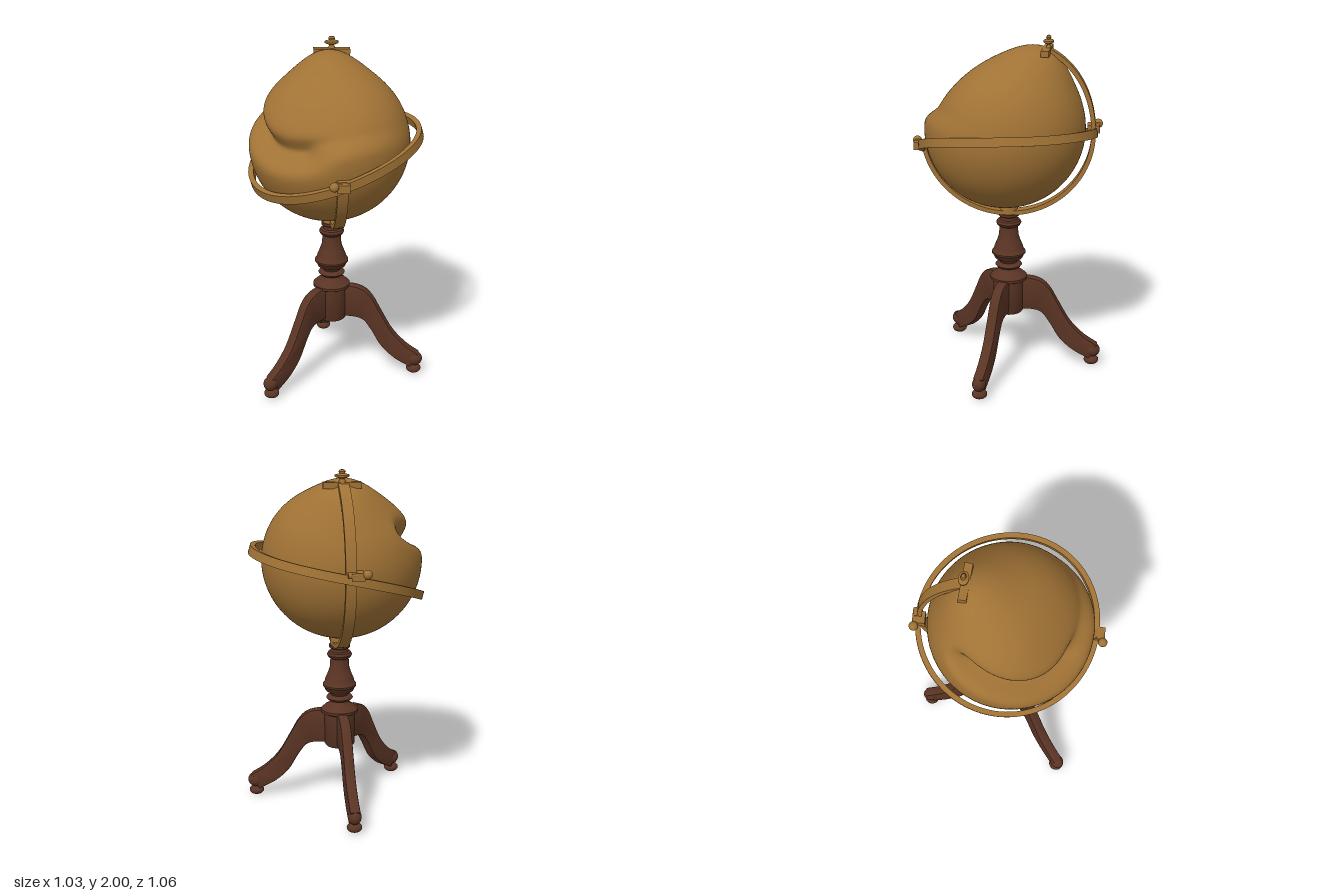
import * as THREE from 'three';
import { mergeVertices, toCreasedNormals } from 'three/addons/utils/BufferGeometryUtils.js';

const V = (x, y, z) => new THREE.Vector3(x, y, z);
const smooth = (x, a, b) => THREE.MathUtils.smoothstep(x, a, b);

// Rectangular bar swept along a path; at(t) gives the centre, out(t) the outward direction
function sweepBar(at, out, thick, wide, n, closed) {
  const pos = [], idx = [];
  for (let i = 0; i <= n; i++) {
    const t = i / n, p = at(t);
    const T = at(t + 0.001).sub(at(t - 0.001)).normalize();
    const O = out(t);
    O.addScaledVector(T, -O.dot(T)).normalize();
    const S = O.clone().cross(T);
    for (const [a, b] of [[1, 1], [1, -1], [-1, -1], [-1, 1]]) {
      const c = p.clone().addScaledVector(O, a * thick / 2).addScaledVector(S, b * wide / 2);
      pos.push(c.x, c.y, c.z);
    }
  }
  for (let i = 0; i < n; i++) {
    for (let j = 0; j < 4; j++) {
      const a = i * 4 + j, b = i * 4 + (j + 1) % 4;
      idx.push(a, b, b + 4, a, b + 4, a + 4);
    }
  }
  if (!closed) {
    const e = n * 4;
    idx.push(0, 2, 1, 0, 3, 2, e, e + 1, e + 2, e, e + 2, e + 3);
  }
  const g = new THREE.BufferGeometry();
  g.setAttribute('position', new THREE.Float32BufferAttribute(pos, 3));
  g.setIndex(idx);
  return toCreasedNormals(g, 0.6);
}

// Ball with a peaked crown, a slumped upper front and a deep fold across the front
function globeGeometry() {
  let g = new THREE.SphereGeometry(1, 120, 90);
  g.deleteAttribute('uv');
  g.deleteAttribute('normal');
  g = mergeVertices(g, 1e-5);
  const p = g.attributes.position, d = V(0, 0, 0);
  const peak = V(-0.19, 0.46, -0.13).normalize();
  const slump = V(0.44, 0.635, 0.635).normalize();
  for (let i = 0; i < p.count; i++) {
    d.fromBufferAttribute(p, i).normalize();
    const fold = d.y - (0.06 - 0.16 * d.x + 0.3 * d.x * d.x);
    const front = smooth(d.z, 0.08, 0.4) * smooth(d.x, -0.97, -0.82) * (1 - smooth(d.x, 0.5, 0.9));
    let r = 0.457;
    r -= 0.1 * Math.exp(-((d.angleTo(slump) / 0.9) ** 2)) * smooth(fold, -0.1, 0.2);
    r -= 0.115 * front * Math.exp(-((fold / (fold > 0 ? 0.17 : 0.13)) ** 2));
    r += 0.075 * Math.exp(-((d.angleTo(peak) / 0.4) ** 2));
    d.multiplyScalar(r);
    p.setXYZ(i, d.x, d.y, d.z);
  }
  g.computeVertexNormals();
  return g;
}

function lathe(points, segments = 32) {
  const g = new THREE.LatheGeometry(points.map(([r, y]) => new THREE.Vector2(r, y)), segments);
  return toCreasedNormals(g, 0.7);
}

export function createModel() {
  const root = new THREE.Group();
  const brass = new THREE.MeshStandardMaterial({ color: 0xa07235 });
  brass.name = 'aged brass';
  const wood = new THREE.MeshStandardMaterial({ color: 0x5a3424 });
  wood.name = 'dark wood';

  const add = (name, geo, mat, x = 0, y = 0, z = 0, parent = root) => {
    const m = new THREE.Mesh(geo, mat);
    m.name = name;
    m.position.set(x, y, z);
    parent.add(m);
    return m;
  };

  // Globe
  add('globe', globeGeometry(), brass, 0, 1.46, -0.005);

  // Tilted, slightly bent horizon ring
  const ringAt = (t) => {
    const a = t * Math.PI * 2, c = Math.cos(a), s = Math.sin(a);
    return V(0.497 * c, 1.41 + 0.03 * c - 0.146 * s - 0.04 * s * s, -0.045 + 0.467 * s);
  };
  const ringOut = (t) => {
    const a = t * Math.PI * 2, c = Math.cos(a), s = Math.sin(a);
    return V(c, 0.06 * c - 0.305 * s, s);
  };
  add('horizonRing', sweepBar(ringAt, ringOut, 0.03, 0.05, 96, true), brass);

  // Meridian arm in an upright plane: right pivot, under the globe, up to the crown
  const yaw = 0.53;
  const armAngle = (t) => THREE.MathUtils.degToRad(-8 - t * 236);
  const armOut = (t) => {
    const a = armAngle(t);
    return V(Math.cos(a) * Math.cos(yaw), Math.sin(a), Math.cos(a) * Math.sin(yaw));
  };
  const armAt = (t) => armOut(t).multiplyScalar(0.485 + 0.035 * smooth(t, 0.75, 1)).add(V(0, 1.45, -0.04));
  add('meridianArm', sweepBar(armAt, armOut, 0.025, 0.06, 80, false), brass);

  // Crossbar and thumb screw on the crown
  const crown = new THREE.Group();
  crown.name = 'crownClamp';
  crown.position.set(-0.185, 1.915, -0.155);
  crown.rotation.y = -yaw - 0.08;
  root.add(crown);
  add('crossbar', new THREE.BoxGeometry(0.045, 0.035, 0.21), brass, 0, 0, 0, crown);
  const screw = add('thumbScrew', lathe([
    [0, 0], [0.022, 0], [0.018, 0.025], [0.012, 0.035], [0.038, 0.047], [0.038, 0.057],
    [0.015, 0.065], [0.019, 0.075], [0.012, 0.085], [0, 0.086],
  ], 20), brass, -0.008, 0, 0, crown);
  screw.scale.set(0.75, 1, 1.05);

  // Pivot brackets with round knobs where the arm meets the ring
  for (const [x, y, z, s] of [[0.43, 1.355, 0.215, 1], [-0.435, 1.47, -0.255, -1]]) {
    const bracket = new THREE.Group();
    bracket.name = s > 0 ? 'leftPivot' : 'rightPivot';
    bracket.position.set(x, y, z);
    bracket.rotation.y = -yaw + (s > 0 ? 0 : Math.PI);
    root.add(bracket);
    add('pivotBlock', new THREE.BoxGeometry(0.07, 0.045, 0.07), brass, 0, 0, 0, bracket);
    const pin = add('pivotPin', new THREE.CylinderGeometry(0.016, 0.016, 0.05, 16), brass, 0.02, 0.01, 0.03, bracket);
    pin.rotation.x = Math.PI / 2;
    add('pivotKnob', new THREE.SphereGeometry(0.026, 20, 14), brass, 0.025, 0.012, 0.05 * s, bracket);
  }

  // Turned column
  const cx = -0.012, cz = -0.03;
  add('topCollar', new THREE.CylinderGeometry(0.052, 0.052, 0.05, 32), brass, cx, 0.98, cz);
  add('column', lathe([
    [0, 0.34], [0.08, 0.34], [0.09, 0.355], [0.09, 0.54], [0.108, 0.55], [0.108, 0.565], [0.085, 0.585],
    [0.055, 0.6], [0.045, 0.618], [0.068, 0.622], [0.078, 0.635], [0.068, 0.648], [0.05, 0.652], [0.055, 0.662],
    [0.082, 0.68], [0.09, 0.7], [0.098, 0.708], [0.098, 0.718], [0.088, 0.727], [0.083, 0.75], [0.068, 0.785],
    [0.057, 0.82], [0.053, 0.875], [0.066, 0.883], [0.073, 0.898], [0.066, 0.912], [0.052, 0.918],
    [0.05, 0.935], [0.06, 0.942], [0.06, 0.957], [0, 0.957],
  ], 40), wood, cx, 0, cz);

  // Three curved legs with ball feet
  const legShape = new THREE.Shape();
  const vec = ([x, y]) => new THREE.Vector2(x, y);
  legShape.moveTo(0.05, 0.54);
  legShape.splineThru([[0.12, 0.55], [0.19, 0.53], [0.24, 0.48], [0.29, 0.39], [0.36, 0.27], [0.44, 0.185], [0.52, 0.13]].map(vec));
  legShape.lineTo(0.48, 0.055);
  legShape.splineThru([[0.39, 0.105], [0.31, 0.18], [0.25, 0.28], [0.2, 0.345], [0.14, 0.365], [0.05, 0.365]].map(vec));
  const legGeo = toCreasedNormals(new THREE.ExtrudeGeometry(legShape, {
    depth: 0.044, bevelEnabled: true, bevelSize: 0.008, bevelThickness: 0.008, bevelSegments: 2, curveSegments: 32,
  }).translate(0, 0, -0.022), 0.7);
  const ball = new THREE.SphereGeometry(0.046, 24, 16);
  [[0.09, 0.475], [0.342, -0.385], [-0.443, -0.278]].forEach(([fx, fz], i) => {
    const leg = new THREE.Group();
    leg.name = ['frontLeg', 'backLeftLeg', 'backRightLeg'][i];
    leg.position.set(cx, 0, cz);
    leg.rotation.y = -Math.atan2(fz - cz, fx - cx);
    root.add(leg);
    const r = Math.hypot(fx - cx, fz - cz);
    add('legCurve', legGeo, wood, 0, 0, 0, leg);
    add('legScroll', ball, wood, r + 0.005, 0.095, 0, leg).scale.set(1, 0.95, 0.85);
    add('foot', ball, wood, r, 0.03, 0, leg).scale.set(0.95, 0.6, 0.95);
  });

  return root;
}
